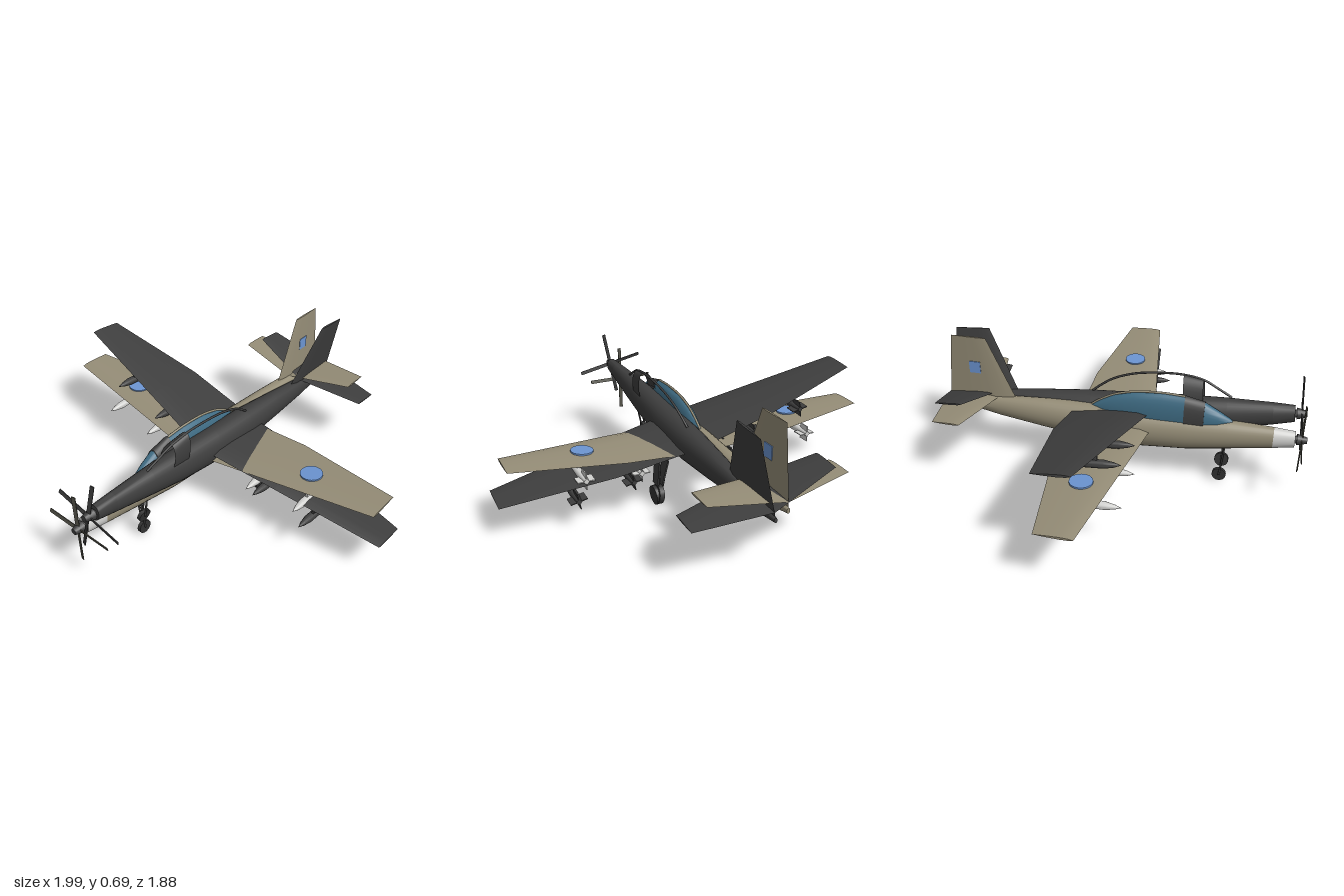
import * as THREE from 'three';
import { toCreasedNormals } from 'three/addons/utils/BufferGeometryUtils.js';

const paint = (name, color, side = THREE.FrontSide) => {
  const m = new THREE.MeshStandardMaterial({ color, side });
  m.name = name;
  return m;
};
const MAT = {
  tan: paint('tan', 0x958d77),
  dark: paint('charcoal', 0x3e3e3e, THREE.DoubleSide),
  light: paint('lightGrey', 0xd2d2d0),
  glass: paint('glass', 0x3f6c84),
  blue: paint('blue', 0x6c95d2),
  rubber: paint('rubber', 0x333333),
  blade: paint('blade', 0x55544a),
};

function add(parent, name, geometry, material) {
  const mesh = new THREE.Mesh(geometry, material);
  mesh.name = name;
  parent.add(mesh);
  return mesh;
}

// Skin through rings of equal point count; faces are turned outward by volume sign
function loft(rings, caps = true, crease = 0.7) {
  const n = rings[0].length, pos = rings.flat(2), idx = [];
  for (let r = 0; r < rings.length - 1; r++) {
    for (let i = 0; i < n; i++) {
      const a = r * n + i, b = r * n + (i + 1) % n;
      idx.push(a, b, b + n, a, b + n, a + n);
    }
  }
  if (caps) {
    const e = (rings.length - 1) * n;
    for (let i = 1; i < n - 1; i++) idx.push(0, i + 1, i, e, e + i, e + i + 1);
  }
  let volume = 0;
  const p = (i) => new THREE.Vector3().fromArray(pos, i * 3);
  for (let t = 0; t < idx.length; t += 3) volume += p(idx[t]).dot(p(idx[t + 1]).cross(p(idx[t + 2])));
  if (volume < 0) idx.reverse();
  const g = new THREE.BufferGeometry();
  g.setAttribute('position', new THREE.Float32BufferAttribute(pos, 3));
  g.setIndex(idx);
  return toCreasedNormals(g, crease);
}

// Elliptical ring from [z, top, bottom, half width]
const oval = ([z, top, bottom, w]) => Array.from({ length: 28 }, (_, i) => {
  const a = (i / 28) * Math.PI * 2;
  return [w * Math.cos(a), (top + bottom) / 2 + ((top - bottom) / 2) * Math.sin(a), z];
});

// Lens-shaped ring: [span, offset, front z, rear z, thickness]
const FOIL = [[0, 0], [0.12, 0.4], [0.35, 0.5], [0.7, 0.3], [1, 0], [0.7, -0.3], [0.35, -0.5], [0.12, -0.4]];
const foil = (side, upright) => ([s, o, front, rear, t]) => FOIL.map(([c, h]) => {
  const z = front + (rear - front) * c;
  return upright ? [o + h * t, s, z] : [side * s, o + h * t, z];
});

// Round rod between two points
function rod(parent, name, a, b, r, mat) {
  const A = new THREE.Vector3(...a), d = new THREE.Vector3(...b).sub(A);
  const m = add(parent, name, new THREE.CylinderGeometry(r, r, d.length(), 10), mat);
  m.position.copy(A).addScaledVector(d, 0.5);
  m.quaternion.setFromUnitVectors(new THREE.Vector3(0, 1, 0), d.normalize());
  return m;
}

const BODY = [[0.775, 0.358, 0.245, 0.04], [0.55, 0.368, 0.21, 0.058], [0.35, 0.372, 0.18, 0.072],
  [0.1, 0.37, 0.163, 0.08], [-0.15, 0.37, 0.172, 0.078], [-0.4, 0.362, 0.2, 0.06],
  [-0.65, 0.35, 0.235, 0.04], [-0.93, 0.315, 0.29, 0.008]];
const COWL = [[0.88, 0.35, 0.265, 0.032], BODY[0]];
const WINDSCREEN = [[0.57, 0.372, 0.33, 0.012], [0.5, 0.415, 0.29, 0.032], [0.43, 0.455, 0.25, 0.042]];
const CANOPY = [[0.33, 0.478, 0.23, 0.045], [0.22, 0.483, 0.225, 0.046], [0.08, 0.473, 0.235, 0.045],
  [-0.03, 0.443, 0.26, 0.038], [-0.1, 0.405, 0.29, 0.026], [-0.15, 0.37, 0.33, 0.01]];
const WING = [[0, 0.283, 0.175, -0.235, 0.034], [0.42, 0.308, 0.113, -0.23, 0.026], [0.97, 0.338, 0.03, -0.145, 0.012]];
const TAIL = [[0, 0.343, -0.655, -0.93, 0.016], [0.35, 0.376, -0.73, -0.87, 0.009]];
const FIN = [[0.32, 0, -0.55, -0.93, 0.022], [0.68, 0, -0.7, -0.885, 0.01]];

function store(side, x, y, wingY, mat) {
  const g = new THREE.Group();
  g.name = 'underwingStore';
  const profile = [[0, -0.2], [0.012, -0.2], [0.02, -0.13], [0.02, 0.07], [0.012, 0.115], [0, 0.15]]
    .map(([r, h]) => new THREE.Vector2(r, h));
  add(g, 'storeBody', toCreasedNormals(new THREE.LatheGeometry(profile, 14), 0.5), mat).rotation.x = Math.PI / 2;
  add(g, 'storeFinsUpright', new THREE.BoxGeometry(0.005, 0.085, 0.06), mat).position.z = -0.17;
  add(g, 'storeFinsFlat', new THREE.BoxGeometry(0.085, 0.005, 0.06), mat).position.z = -0.17;
  const h = wingY - y;
  add(g, 'pylon', new THREE.BoxGeometry(0.012, h, 0.12), mat).position.set(0, h / 2, -0.02);
  g.position.set(side * x, y, 0);
  return g;
}

function wheel(parent, name, x, y, z, r, width, tilt) {
  const m = add(parent, name, new THREE.CylinderGeometry(r, r, width, 20), MAT.rubber);
  m.position.set(x, y, z);
  m.rotation.z = Math.PI / 2 + tilt;
}

function aircraft(name, { skin, cowl, stores, intact }) {
  const g = new THREE.Group();
  g.name = name;
  add(g, 'fuselage', loft(BODY.map(oval)), skin);
  add(g, 'noseCowl', loft(COWL.map(oval)), cowl);
  add(g, 'fin', loft(FIN.map(foil(1, true))), skin);

  // Canopy: glass only on the intact one, hoop and spine on both
  if (intact) {
    add(g, 'windscreen', loft(WINDSCREEN.map(oval)), MAT.glass);
    add(g, 'canopyGlass', loft(CANOPY.map(oval)), MAT.glass);
  }
  const hoop = [WINDSCREEN[2], CANOPY[0]].map(([z, t, b, w]) => oval([z, t + 0.003, b, w + 0.003]));
  add(g, 'canopyHoop', loft(hoop, false), MAT.dark);
  const ridge = (intact ? CANOPY : [...WINDSCREEN, ...CANOPY]).map(([z, t]) => new THREE.Vector3(0, t, z));
  add(g, 'canopySpine', new THREE.TubeGeometry(new THREE.CatmullRomCurve3(ridge), 40, 0.006, 8), skin);

  for (const s of [1, -1]) {
    add(g, 'wing', loft(WING.map(foil(s))), skin);
    add(g, 'tailplane', loft(TAIL.map(foil(s))), skin);
    g.add(store(s, 0.62, 0.242, 0.318, stores), store(s, 0.34, 0.22, 0.3, stores));

    // Main landing gear
    rod(g, 'mainLeg', [s * 0.16, 0.25, -0.11], [s * 0.212, 0.05, -0.13], 0.009, MAT.dark);
    const door = add(g, 'gearDoor', new THREE.BoxGeometry(0.008, 0.13, 0.06), MAT.dark);
    door.position.set(s * 0.195, 0.17, -0.125);
    door.rotation.z = s * 0.26;
    wheel(g, 'mainWheel', s * 0.225, 0.051, -0.13, 0.05, 0.026, s * 0.12);

    // Wing roundels and fin flashes
    if (intact) {
      const disc = add(g, 'roundel', new THREE.CylinderGeometry(0.055, 0.055, 0.008, 32), MAT.blue);
      disc.position.set(s * 0.585, 0.331, -0.045);
      disc.rotation.z = s * 0.055;
      const flash = add(g, 'finFlash', new THREE.BoxGeometry(0.004, 0.065, 0.06), MAT.blue);
      flash.position.set(s * 0.008, 0.51, -0.77);
    }
  }

  // Nose gear
  for (const s of [1, -1]) rod(g, 'noseLeg', [s * 0.008, 0.23, 0.545], [s * 0.011, 0.036, 0.525], 0.005, MAT.dark);
  wheel(g, 'noseWheel', 0, 0.036, 0.525, 0.036, 0.018, 0);

  // Four-bladed propeller
  const prop = new THREE.Group();
  prop.name = 'propeller';
  prop.position.set(0, 0.308, 0.913);
  g.add(prop);
  const hub = add(prop, 'hub', new THREE.CylinderGeometry(0.016, 0.029, 0.05, 16), MAT.dark);
  hub.rotation.x = Math.PI / 2;
  rod(prop, 'shaft', [0, 0, -0.04], [0, 0, 0], 0.02, MAT.dark);
  for (let i = 0; i < 4; i++) {
    const arm = new THREE.Group();
    arm.name = 'bladeArm';
    arm.rotation.z = (i * Math.PI) / 2;
    const blade = add(arm, 'blade', new THREE.BoxGeometry(0.02, 0.17, 0.004), intact ? MAT.blade : MAT.dark);
    blade.position.y = 0.105;
    blade.rotation.y = 0.25;
    prop.add(arm);
  }
  return g;
}

export function createModel() {
  const model = new THREE.Group();
  model.name = 'twoAircraft';

  const level = aircraft('tanAircraft', { skin: MAT.tan, cowl: MAT.light, stores: MAT.light, intact: true });
  level.position.x = -0.03;

  // Second aircraft, pitched up and banked through the first
  const banked = aircraft('darkAircraft', { skin: MAT.dark, cowl: MAT.dark, stores: MAT.dark, intact: false });
  banked.position.y = -0.31;
  const tilt = new THREE.Group();
  tilt.name = 'bankedPivot';
  tilt.add(banked);
  tilt.position.set(0.038, 0.353, -0.012);
  tilt.rotation.set(-0.072, 0, -0.209);

  model.add(level, tilt);
  return model;
}
